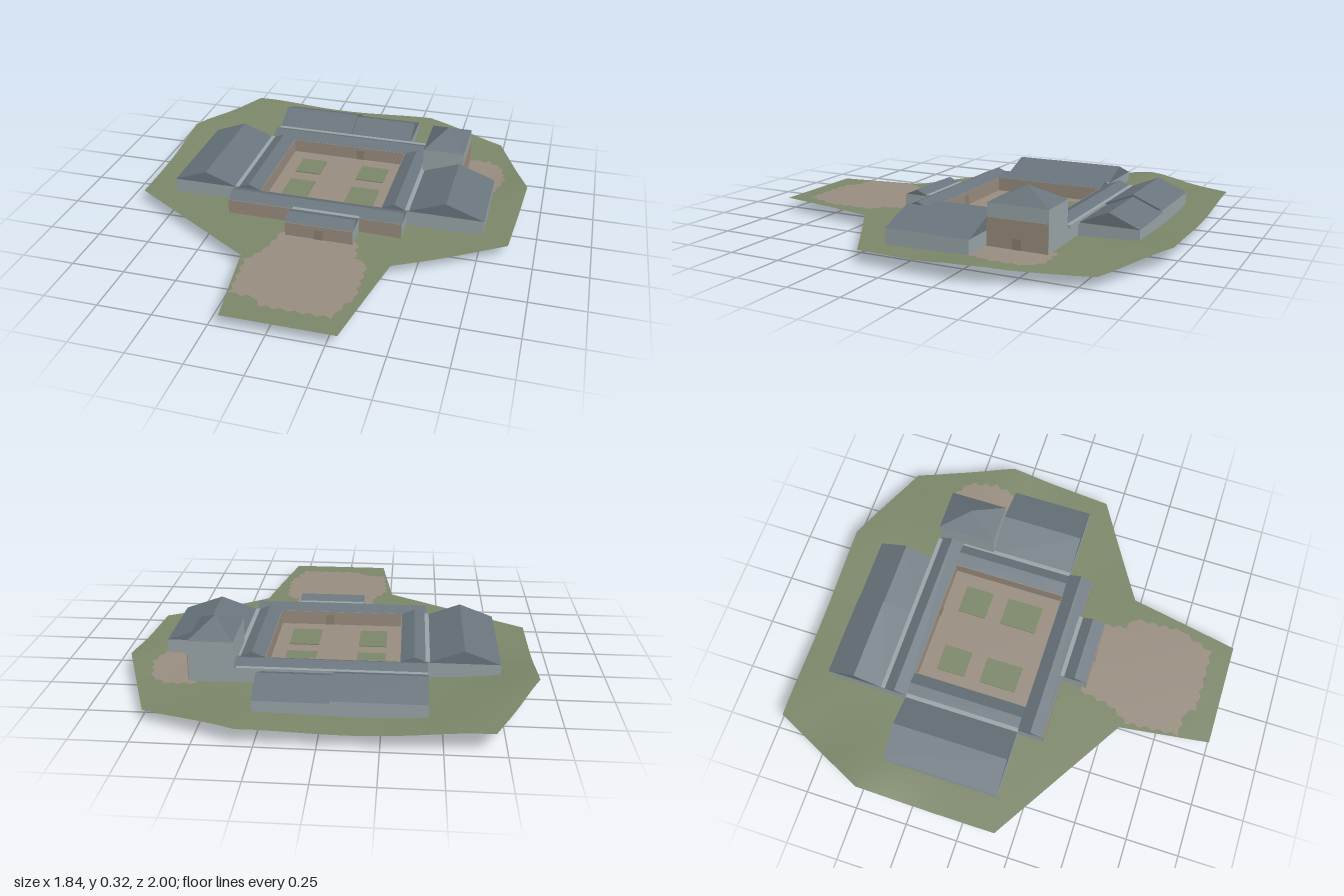
import * as THREE from 'three';

const paint = (name, color, side = THREE.FrontSide) => {
  const m = new THREE.MeshStandardMaterial({ color, side });
  m.name = name;
  return m;
};

// Gentle terrain: level site with a few broad rises and dips [x, z, height, radius]
const bumps = [
  [-0.92, -0.55, 0.045, 0.25], [-0.65, -0.98, 0.03, 0.3], [0.3, -1, 0.018, 0.3],
  [0.92, -0.34, 0.02, 0.15], [0.75, -0.85, -0.012, 0.2], [0.6, 0.35, -0.01, 0.25],
];
const height = (x, z) => bumps.reduce((y, [bx, bz, h, r]) =>
  y + h * Math.exp(-((x - bx) ** 2 + (z - bz) ** 2) / (r * r)), 0.06);

// Split an outline into short edges, optionally with a ragged border
function subdivide(outline, step, ragged = 0) {
  const pts = [];
  outline.forEach(([x0, z0], i) => {
    const [x1, z1] = outline[(i + 1) % outline.length];
    const len = Math.hypot(x1 - x0, z1 - z0);
    const n = Math.max(1, Math.round(len / step));
    for (let k = 0; k < n; k++) {
      const t = k / n, d = (pts.length % 2 ? 1 : -1) * ragged / len;
      pts.push([x0 + (x1 - x0) * t + (z1 - z0) * d, z0 + (z1 - z0) * t - (x1 - x0) * d]);
    }
  });
  return pts;
}

// Sheet draped over the terrain, made of rings spreading from a centre
function sheetGeometry(pts, [cx, cz], offset = 0, rings = 14) {
  const pos = [], index = [], n = pts.length;
  for (let r = 0; r <= rings; r++) {
    for (const [px, pz] of pts) {
      const x = cx + (px - cx) * r / rings, z = cz + (pz - cz) * r / rings;
      pos.push(x, height(x, z) + offset, z);
    }
  }
  for (let r = 0; r < rings; r++) {
    for (let i = 0; i < n; i++) {
      const j = (i + 1) % n, a = r * n + i, b = r * n + j, c = a + n, d = b + n;
      if (r > 0) index.push(a, b, c);
      index.push(b, d, c);
    }
  }
  const g = new THREE.BufferGeometry();
  g.setAttribute('position', new THREE.Float32BufferAttribute(pos, 3));
  g.setIndex(index);
  g.computeVertexNormals();
  return g;
}

// Gable roof over a rectangle, ridge along 'x' or 'z'
function gableGeometry(x0, x1, z0, z1, eave, ridge, axis) {
  const along = axis === 'x' ? x1 - x0 : z1 - z0;
  const half = (axis === 'x' ? z1 - z0 : x1 - x0) / 2;
  const s = new THREE.Shape();
  s.moveTo(-half, 0);
  s.lineTo(half, 0);
  s.lineTo(0, ridge - eave);
  const g = new THREE.ExtrudeGeometry(s, { depth: along, bevelEnabled: false });
  g.translate(0, 0, -along / 2);
  if (axis === 'x') g.rotateY(Math.PI / 2);
  return g.translate((x0 + x1) / 2, eave, (z0 + z1) / 2);
}

export function createModel() {
  const model = new THREE.Group();
  model.name = 'courtyardCompound';
  const slate = paint('roofSlate', 0x69747c);
  const stone = paint('paleWall', 0x98a4a8);
  const clay = paint('brownWall', 0x988b7e);
  const wood = paint('doorBrown', 0x8c7f72);
  const grass = paint('grass', 0x7c8769, THREE.DoubleSide);
  const dirt = paint('dirt', 0x988d80, THREE.DoubleSide);

  const add = (name, geometry, material, parent = model) => {
    const m = new THREE.Mesh(geometry, material);
    m.name = name;
    parent.add(m);
    return m;
  };
  const box = (name, x0, x1, y0, y1, z0, z1, material, parent) => add(name,
    new THREE.BoxGeometry(x1 - x0, y1 - y0, z1 - z0)
      .translate((x0 + x1) / 2, (y0 + y1) / 2, (z0 + z1) / 2), material, parent);

  // Ground
  const land = [[-0.7, -0.98], [0.32, -1], [0.74, -0.82], [0.92, -0.34], [0.88, 0.18],
    [0.4, 0.47], [0.3, 1], [-0.2, 1], [-0.26, 0.57], [-0.92, 0.16], [-0.92, -0.52]];
  add('ground', sheetGeometry(subdivide(land, 0.08), [0.05, 0], 0, 20), grass);

  // Bare earth, visible from both sides of the ground
  const earth = [
    ['forecourt', [0.05, 0.62], 0.008, [[-0.14, 0.34], [0.22, 0.34], [0.24, 0.46], [0.3, 0.5],
      [0.31, 0.74], [0.28, 0.8], [0.25, 0.9], [-0.06, 0.9], [-0.1, 0.85], [-0.21, 0.85],
      [-0.23, 0.6], [-0.17, 0.5]]],
    ['towerYard', [0.66, -0.43], 0.008, [[0.56, -0.59], [0.7, -0.59], [0.77, -0.54],
      [0.8, -0.4], [0.77, -0.28], [0.57, -0.27]]],
    ['courtyard', [-0.02, -0.16], 0, [[-0.33, -0.45], [0.29, -0.45], [0.29, 0.13], [-0.33, 0.13]]],
  ];
  for (const [name, centre, ragged, outline] of earth) {
    const pts = subdivide(outline, 0.03, ragged);
    add(name + 'Top', sheetGeometry(pts, centre, 0.003), dirt);
    add(name + 'Underside', sheetGeometry(pts, centre, -0.003), dirt);
  }

  // Four lawn plots in the courtyard
  for (const [x0, x1] of [[-0.25, -0.12], [0.07, 0.21]]) {
    for (const [z0, z1] of [[-0.36, -0.22], [-0.14, 0.04]]) {
      box('lawnPlot', x0, x1, 0.053, 0.068, z0, z1, grass);
    }
  }

  // Gabled wings: name, x0, x1, z0, z1, base, eave, ridge, ridge axis
  const wings = [
    ['leftHall', -0.76, -0.44, -0.44, 0.12, 0.05, 0.13, 0.19, 'z'],
    ['rightHall', 0.4, 0.76, -0.28, 0.12, 0.05, 0.13, 0.195, 'z'],
    ['backHallDeep', -0.44, -0.04, -0.84, -0.56, 0, 0.13, 0.19, 'x'],
    ['backHallShallow', -0.04, 0.28, -0.84, -0.56, 0.05, 0.12, 0.18, 'x'],
    ['frontGallery', -0.44, 0.4, 0.12, 0.24, 0.05, 0.13, 0.155, 'x'],
    ['backGallery', -0.44, 0.4, -0.56, -0.44, 0, 0.13, 0.155, 'x'],
    ['leftGallery', -0.44, -0.32, -0.44, 0.12, 0.05, 0.13, 0.155, 'z'],
    ['rightGallery', 0.28, 0.4, -0.44, 0.12, 0.05, 0.13, 0.155, 'z'],
    ['porch', -0.12, 0.2, 0.24, 0.36, 0.05, 0.13, 0.155, 'x'],
  ];
  for (const [name, x0, x1, z0, z1, base, eave, ridge, axis] of wings) {
    const wing = new THREE.Group();
    wing.name = name;
    model.add(wing);
    box('walls', x0, x1, base, eave, z0, z1, stone, wing);
    add('roof', gableGeometry(x0, x1, z0, z1, eave, ridge, axis), slate, wing);
  }

  // Pale gutters in the valleys between roofs
  box('leftGutter', -0.45, -0.43, 0.128, 0.136, -0.44, 0.12, stone);
  box('backGutter', -0.44, 0.39, 0.118, 0.136, -0.57, -0.55, stone);
  box('rightGutter', 0.39, 0.41, 0.128, 0.136, -0.44, 0.12, stone);
  box('porchGutter', -0.12, 0.2, 0.128, 0.136, 0.23, 0.25, stone);

  // Tower with a pyramid roof
  const tower = new THREE.Group();
  tower.name = 'tower';
  model.add(tower);
  box('towerWalls', 0.4, 0.6, 0.05, 0.25, -0.56, -0.28, stone, tower);
  add('towerRoof', new THREE.ConeGeometry(Math.SQRT1_2, 0.07, 4, 1).rotateY(Math.PI / 4)
    .scale(0.2, 1, 0.28).translate(0.5, 0.285, -0.42).toNonIndexed(), slate, tower)
    .geometry.computeVertexNormals();
  box('towerFacing', 0.599, 0.603, 0.05, 0.19, -0.56, -0.28, clay, tower);
  box('towerDoor', 0.602, 0.606, 0.06, 0.112, -0.44, -0.4, wood, tower);

  // Brown facings on the entrance front and around the courtyard
  const t = 0.003;
  box('frontFacingLeft', 0.2, 0.4, 0.052, 0.13, 0.24, 0.24 + t, clay);
  box('frontFacingRight', -0.44, -0.12, 0.052, 0.13, 0.24, 0.24 + t, clay);
  box('porchFacing', -0.12, 0.2, 0.052, 0.13, 0.36, 0.36 + t, clay);
  box('courtFacingFront', -0.32, 0.28, 0.052, 0.13, 0.12 - t, 0.12, clay);
  box('courtFacingBack', -0.32, 0.28, 0.052, 0.13, -0.44, -0.44 + t, clay);
  box('courtFacingRight', -0.32, -0.32 + t, 0.052, 0.13, -0.44, 0.12, clay);
  box('courtFacingLeft', 0.28 - t, 0.28, 0.052, 0.13, -0.44, 0.12, clay);

  // Doors
  for (const z of [0.363, 0.115, -0.437]) {
    box('door', 0.02, 0.06, 0.06, 0.115, z, z + 0.003, wood);
  }
  return model;
}
